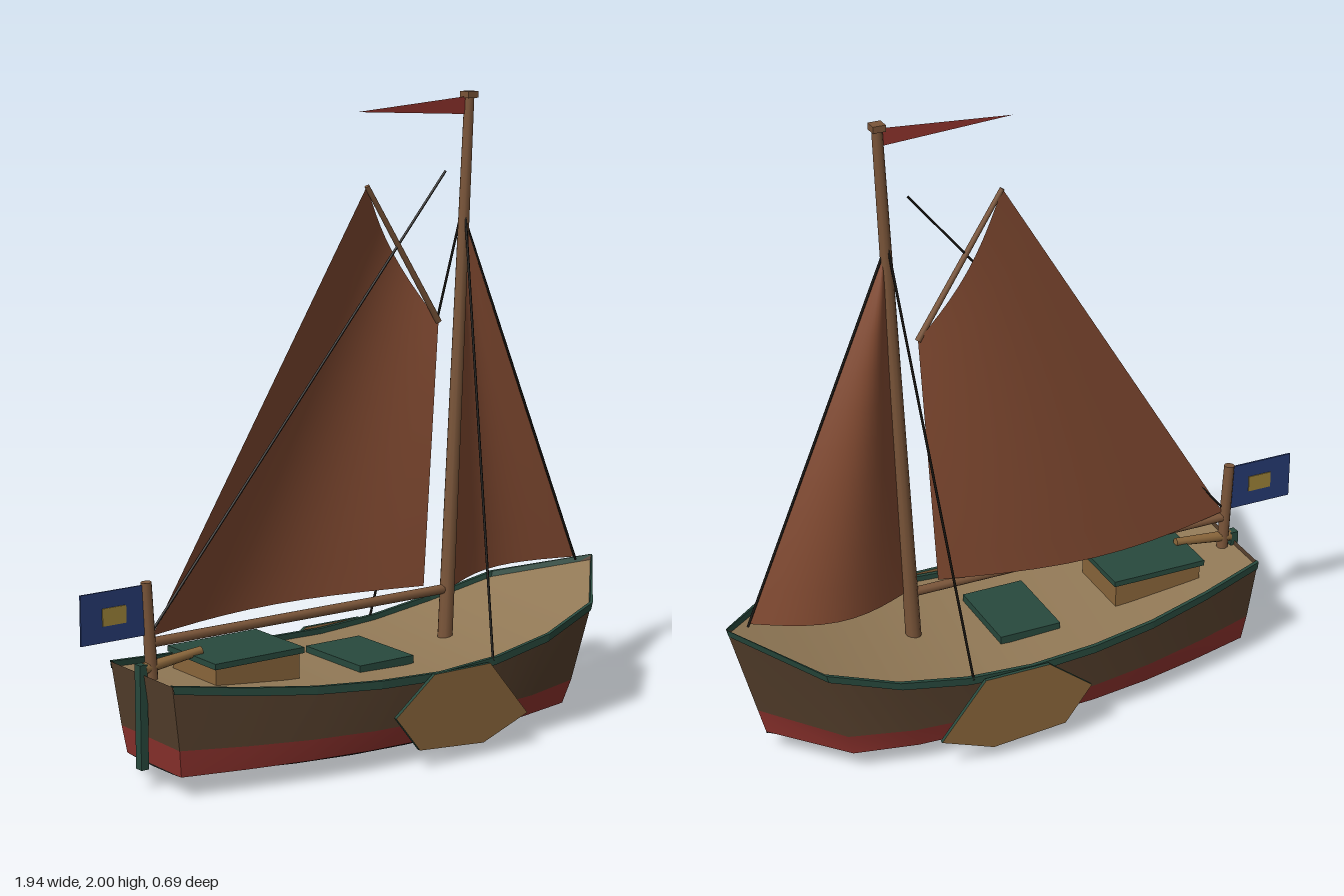
import * as THREE from 'three';

const V = (x, y, z = 0) => new THREE.Vector3(x, y, z);
const mat = (color) => new THREE.MeshStandardMaterial({ color, side: THREE.DoubleSide });
const M = {
  hull: mat(0x553f2c), red: mat(0x8f332e), black: mat(0x1c1a18), deck: mat(0x937a57),
  teal: mat(0x28493d), wood: mat(0x7a5539), board: mat(0x8a663b), sail: mat(0x824a31),
  rope: mat(0x16130f), pennant: mat(0x90332d), blue: mat(0x263a72), yellow: mat(0x9c8238),
};

// hull stations: half beam, sheer height and keel height from stern to bow
const beam = [0.17, 0.228, 0.276, 0.307, 0.317, 0.316, 0.303, 0.255, 0];
const sheer = [0.35, 0.322, 0.3, 0.287, 0.28, 0.293, 0.327, 0.385, 0.46];
const keel = [0.06, 0.032, 0.015, 0.005, 0, 0.005, 0.015, 0.035, 0.06];
const CHINE = 0.065;

// surface through equal rows of points
function grid(rows, flat = false) {
  const n = rows[0].length, pos = [], idx = [];
  rows.forEach((r) => r.forEach((p) => pos.push(p.x, p.y, p.z)));
  for (let i = 0; i < rows.length - 1; i++)
    for (let j = 0; j < n - 1; j++) {
      const a = i * n + j, b = a + n;
      idx.push(a, a + 1, b + 1, a, b + 1, b);
    }
  let g = new THREE.BufferGeometry();
  g.setAttribute('position', new THREE.Float32BufferAttribute(pos, 3));
  g.setIndex(idx);
  if (flat) g = g.toNonIndexed();
  g.computeVertexNormals();
  return g;
}

// one fore-and-aft line of the hull; stem and stern rake with height
function hullLine(side, widthOf, heightOf) {
  return beam.map((b, i) => {
    const x = -0.77 + (1.74 * i) / 8, low = -0.73 + (1.59 * i) / 8, y = heightOf(i);
    const t = Math.max(0, (y - CHINE) / (sheer[i] - CHINE));
    return V(low + (x - low) * t, y, side * widthOf(b));
  });
}

export function createModel() {
  const boat = new THREE.Group();
  const add = (name, geometry, material, x = 0, y = 0, z = 0) => {
    const m = new THREE.Mesh(geometry, material);
    m.name = name;
    m.position.set(x, y, z);
    boat.add(m);
    return m;
  };
  const box = (name, m, w, h, d, x, y, z = 0) => add(name, new THREE.BoxGeometry(w, h, d), m, x, y, z);
  const spar = (name, m, a, b, r0, r1 = r0, sides = 10) => {
    const dir = b.clone().sub(a), c = a.clone().add(b).multiplyScalar(0.5);
    const s = add(name, new THREE.CylinderGeometry(r1, r0, dir.length(), sides), m, c.x, c.y, c.z);
    s.quaternion.setFromUnitVectors(V(0, 1), dir.normalize());
  };

  // hull lines from keel up to the sheer
  const levels = [
    [() => 0, (i) => keel[i]],
    [(b) => b * 0.58, (i) => keel[i] + (CHINE - keel[i]) * 0.4],
    [(b) => b * 0.88, () => CHINE],
    [(b) => b * 0.945, (i) => 0.13 + 0.02 * ((i - 4) / 4) ** 2],
    [(b) => b, (i) => sheer[i]],
  ];
  const bands = [['bottom', M.black, 0, 2], ['waterlineBand', M.red, 2, 3], ['topsides', M.hull, 3, 4]];
  const sides = [-1, 1].map((s) => levels.map(([w, h]) => hullLine(s, w, h)));
  for (const [name, m, from, to] of bands) {
    sides.forEach((lines) => add(name, grid(lines.slice(from, to + 1)), m));
    const stern = [];
    for (let k = from; k <= to; k++) stern.push([sides[0][k][0], sides[1][k][0]]);
    add(name + 'Transom', grid(stern), m);
  }

  // deck and rail
  const deckLines = [1, -1].map((s) => hullLine(s, (b) => b, (i) => sheer[i] - 0.015));
  add('deck', grid(deckLines), M.deck);
  for (const s of [-1, 1]) {
    const corner = (off, drop) => hullLine(s, (b) => Math.max(0, b + off), (i) => sheer[i] - drop);
    add('rail', grid([corner(0.004, 0.022), corner(0.004, -0.003), corner(-0.009, -0.003), corner(-0.009, 0.022)], true), M.teal);
  }

  // leeboards
  const outline = [[-0.09, 0.175], [0.0, 0.06], [0.245, 0.04], [0.418, 0.105], [0.27, 0.288], [0.055, 0.288]];
  const boardShape = new THREE.Shape(outline.map(([x, y]) => new THREE.Vector2(x, y)));
  const boardGeo = new THREE.ExtrudeGeometry(boardShape, { depth: 0.012, bevelEnabled: false });
  for (const z of [-0.343, 0.331]) add('leeboard', boardGeo, [M.board, M.teal], 0, 0, z);

  // cabin, hatch, rudder and tiller
  box('cabin', M.board, 0.3, 0.09, 0.235, -0.435, 0.32);
  box('cabinRoof', M.teal, 0.32, 0.018, 0.26, -0.435, 0.371);
  box('hatch', M.teal, 0.205, 0.03, 0.285, 0.025, 0.276);
  box('rudder', M.teal, 0.026, 0.32, 0.03, -0.77, 0.22);
  spar('tiller', M.board, V(-0.76, 0.365), V(-0.56, 0.388), 0.018, 0.013);

  // mast, boom and gaff
  spar('mast', M.wood, V(0.36, 0.25), V(0.443, 1.985), 0.025, 0.016);
  box('mastCap', M.wood, 0.04, 0.02, 0.04, 0.443, 1.99);
  spar('boom', M.wood, V(-0.735, 0.44), V(0.37, 0.438), 0.015);
  spar('gaff', M.wood, V(0.328, 1.295), V(0.052, 1.732), 0.01, 0.008);

  // sails bellied towards -z between four corners
  const sail = (name, clew, tack, throat, peak, belly) => {
    const rows = [], n = 10;
    for (let i = 0; i <= n; i++) {
      const v = i / n, a = clew.clone().lerp(peak, v), b = tack.clone().lerp(throat, v);
      rows.push(Array.from({ length: n + 1 }, (_, j) => {
        const p = a.clone().lerp(b, j / n);
        p.z -= Math.sin((Math.PI * j) / n) * belly(v);
        return p;
      }));
    }
    add(name, grid(rows), M.sail);
  };
  sail('mainsail', V(-0.73, 0.46), V(0.275, 0.46), V(0.328, 1.295), V(0.052, 1.732), (v) => 0.087 * (1 - 0.4 * v * v));
  sail('jib', V(0.39, 0.44), V(0.9, 0.465), V(0.432, 1.59), V(0.432, 1.59), (v) => 0.088 * Math.sqrt(1 - v));

  // rigging
  spar('forestay', M.rope, V(0.902, 0.455), V(0.432, 1.6), 0.004, 0.004, 6);
  spar('toppingLift', M.rope, V(-0.725, 0.48), V(0.352, 1.76), 0.004, 0.004, 6);
  for (const s of [-1, 1]) spar('shroud', M.rope, V(0.3, 0.285, 0.318 * s), V(0.427, 1.67), 0.004, 0.004, 6);

  // pennant and stern flag
  const pennant = [V(0.435, 1.985), V(0.015, 1.956), V(0.435, 1.93)].map((p) => new THREE.Vector2(p.x, p.y));
  add('pennant', new THREE.ShapeGeometry(new THREE.Shape(pennant)), M.pennant);
  spar('flagstaff', M.wood, V(-0.733, 0.33), V(-0.749, 0.625), 0.019, 0.017);
  box('flag', M.blue, 0.215, 0.152, 0.006, -0.8655, 0.542);
  box('flagPatch', M.yellow, 0.08, 0.053, 0.012, -0.861, 0.542);
  return boat;
}
